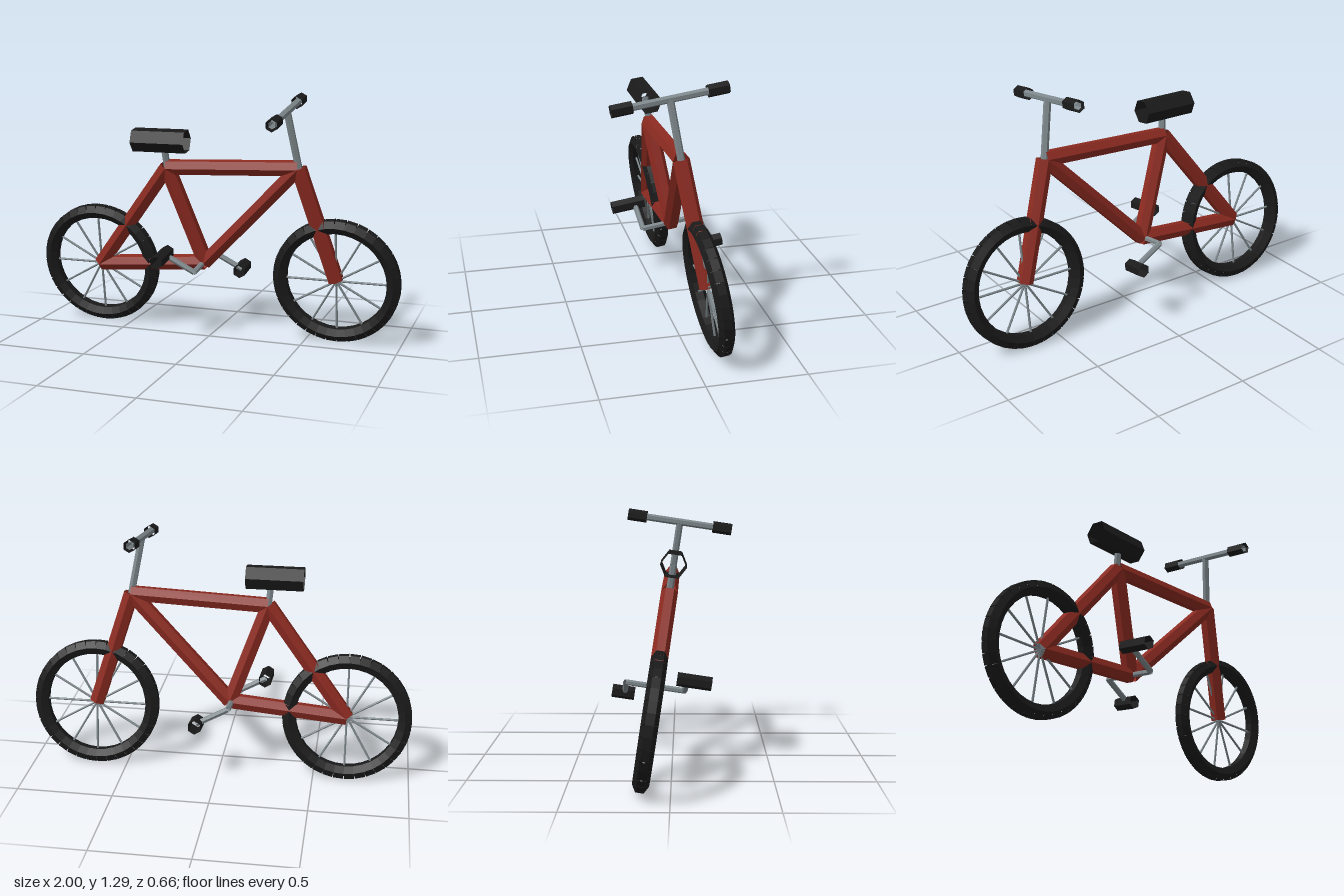
import * as THREE from 'three';

const material = (color) => new THREE.MeshStandardMaterial({ color, flatShading: true, side: THREE.DoubleSide });
const red = material(0x8b2a20);
const black = material(0x1a1a1a);
const steel = material(0x7d878b);
const UP = new THREE.Vector3(0, 1, 0);

// Open six-sided tube between two points
function bar(name, from, to, radius, mat) {
  const a = new THREE.Vector3(...from);
  const b = new THREE.Vector3(...to);
  const dir = b.clone().sub(a);
  const mesh = new THREE.Mesh(new THREE.CylinderGeometry(radius, radius, dir.length(), 6, 1, true), mat);
  mesh.position.copy(a).add(b).multiplyScalar(0.5);
  mesh.quaternion.setFromUnitVectors(UP, dir.normalize());
  mesh.name = name;
  return mesh;
}

// Tyre of short straight tubes around a ring, with thin spokes
function wheel(name, x, y) {
  const group = new THREE.Group();
  group.name = name;
  group.position.set(x, y, 0);
  const rim = 0.3, segments = 36, spokes = 12;
  const at = (t) => [rim * Math.cos(t), rim * Math.sin(t), 0];
  for (let i = 0; i < segments; i++) {
    const step = (2 * Math.PI) / segments;
    group.add(bar('tyreSegment', at(i * step), at((i + 1) * step), 0.04, black));
  }
  for (let i = 0; i < spokes; i++) {
    group.add(bar('spoke', [0, 0, 0], at((i * 2 * Math.PI) / spokes), 0.006, steel));
  }
  return group;
}

export function createModel() {
  const model = new THREE.Group();
  model.name = 'bicycle';

  // Everything is built upright, then leaned over
  const bike = new THREE.Group();
  bike.name = 'leaningBicycle';
  bike.rotation.x = 0.149;
  bike.position.z = -0.148;
  model.add(bike);

  const rearHub = [-0.663, 0.344, 0];
  const frontHub = [0.663, 0.344, 0];
  const seatJoint = [-0.237, 0.915, 0];
  const headJoint = [0.477, 0.943, 0];
  const crankJoint = [-0.052, 0.394, 0];

  // Wheels
  bike.add(wheel('rearWheel', rearHub[0], rearHub[1]), wheel('frontWheel', frontHub[0], frontHub[1]));

  // Frame
  const tubes = [
    ['topTube', seatJoint, headJoint],
    ['downTube', headJoint, crankJoint],
    ['seatTube', seatJoint, crankJoint],
    ['chainStay', rearHub, crankJoint],
    ['seatStay', rearHub, seatJoint],
    ['fork', headJoint, frontHub],
  ];
  for (const [name, a, b] of tubes) bike.add(bar(name, a, b, 0.042, red));

  // Seat
  bike.add(bar('seatPost', seatJoint, [-0.25, 1.05, 0], 0.018, steel));
  bike.add(bar('seat', [-0.415, 1.058, 0], [-0.12, 1.058, 0], 0.065, black));

  // Steering
  const [hx, hy] = [0.424, 1.235];
  bike.add(bar('stem', headJoint, [hx, hy, 0], 0.019, steel));
  bike.add(bar('handlebar', [hx, hy, -0.28], [hx, hy, 0.28], 0.019, steel));
  for (const s of [-1, 1]) {
    bike.add(bar('grip', [hx, hy, s * 0.184], [hx, hy, s * 0.289], 0.032, black));
  }

  // Cranks and pedals, opposite each other on the axle
  const [cx, cy] = [-0.06, 0.393];
  bike.add(bar('crankAxle', [cx, cy, -0.155], [cx, cy, 0.155], 0.015, steel));
  for (const [s, inner, outer] of [[1, 0.104, 0.281], [-1, 0.104, 0.224]]) {
    const px = cx - s * 0.161;
    const py = cy + s * 0.087;
    bike.add(bar('crankArm', [cx, cy, s * 0.155], [px, py, s * 0.155], 0.015, steel));
    bike.add(bar('pedal', [px, py, s * inner], [px, py, s * outer], 0.036, black));
  }

  return model;
}
